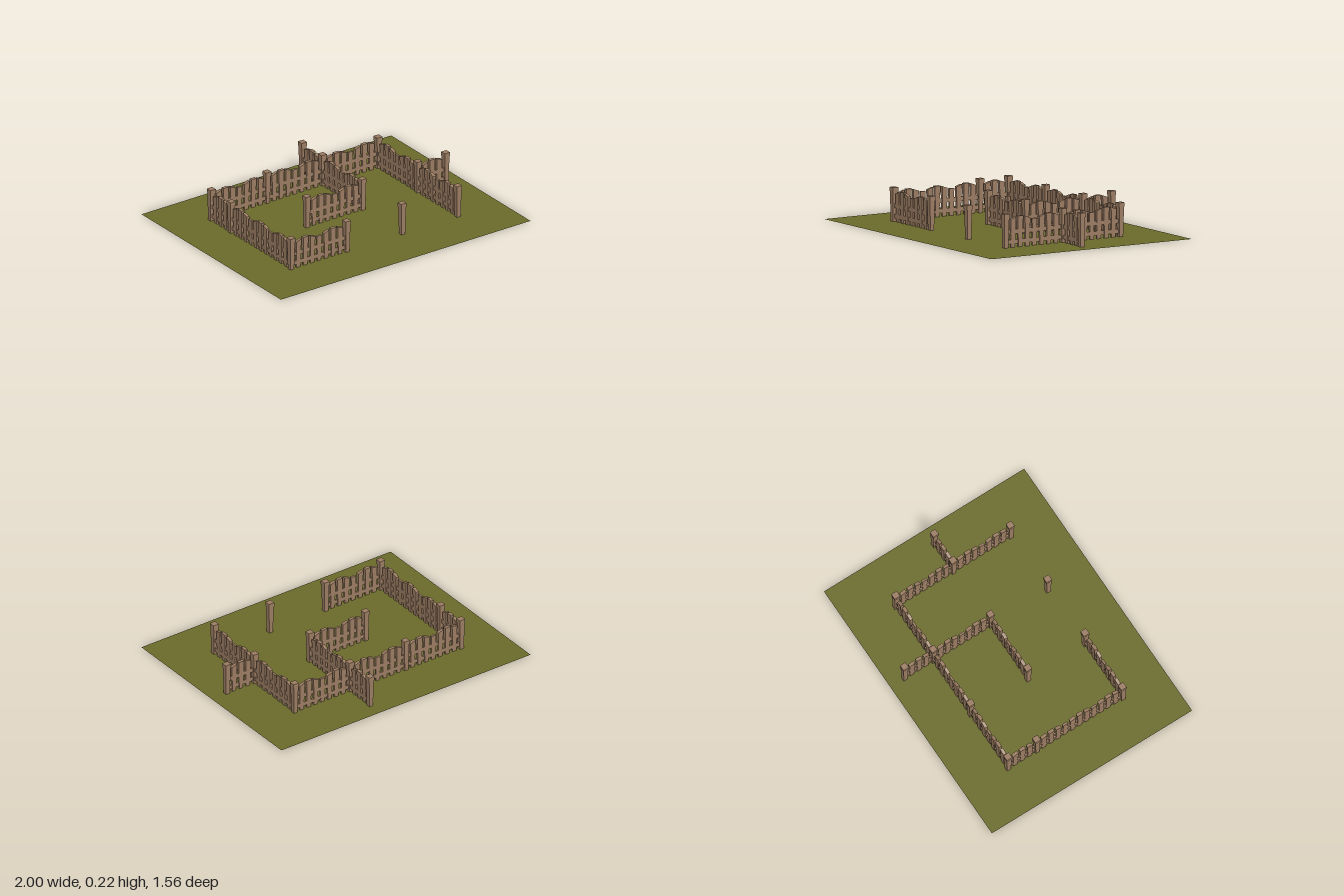
import * as THREE from 'three';

const wood = new THREE.MeshStandardMaterial({ color: 0x9b7c62 });
wood.name = 'weathered wood';
const grass = new THREE.MeshStandardMaterial({ color: 0x6a6a2b, side: THREE.DoubleSide });
grass.name = 'olive grass';

const HALF = 0.2225; // half a fence panel: three pickets between its ends
const STEP = HALF / 4;

function add(parent, geometry, material, name, x = 0, y = 0, z = 0) {
  const mesh = new THREE.Mesh(geometry, material);
  mesh.name = name;
  mesh.position.set(x, y, z);
  parent.add(mesh);
  return mesh;
}

// Board standing on y = 0, widening upward, with a top sloping from hL to hR
function board(wBottom, wTop, dBottom, dTop, hL, hR) {
  const g = new THREE.BoxGeometry(1, 1, 1);
  const p = g.attributes.position;
  for (let i = 0; i < p.count; i++) {
    const top = p.getY(i) > 0;
    const x = p.getX(i);
    p.setXYZ(i, x * (top ? wTop : wBottom), top ? (x < 0 ? hL : hR) : 0,
      p.getZ(i) * (top ? dTop : dBottom));
  }
  g.computeVertexNormals();
  return g;
}

const shaft = board(0.029, 0.037, 0.029, 0.037, 0.2, 0.2);
const cap = new THREE.BoxGeometry(0.042, 0.028, 0.042);
const rising = board(0.03, 0.041, 0.014, 0.022, 0.186, 0.2);
const falling = board(0.03, 0.041, 0.014, 0.022, 0.2, 0.186);
const tall = board(0.03, 0.042, 0.014, 0.023, 0.205, 0.205);
const low = board(0.03, 0.039, 0.012, 0.015, 0.179, 0.179);

function post(parent, x, z) {
  const g = new THREE.Group();
  g.name = 'post';
  g.position.set(x, 0, z);
  add(g, shaft, wood, 'postShaft');
  add(g, cap, wood, 'postCap', 0, 0.211, 0);
  parent.add(g);
}

// Run of fence along x or z; skip lists the half-panel joints that hold posts
function fence(parent, x, z, along, halves, postJoints = []) {
  const g = new THREE.Group();
  g.name = 'fenceRun';
  g.position.set(x, 0, z);
  if (along === 'z') g.rotation.y = -Math.PI / 2;
  const length = halves * HALF;
  for (const y of [0.037, 0.104]) {
    add(g, new THREE.BoxGeometry(length, 0.028, 0.012), wood, 'rail', length / 2, y, 0);
  }
  for (let h = 0; h < halves; h++) {
    [rising, tall, falling].forEach((geo, i) =>
      add(g, geo, wood, 'picket', h * HALF + (i + 1) * STEP));
    if (h > 0 && !postJoints.includes(h)) add(g, low, wood, 'lowPicket', h * HALF);
  }
  parent.add(g);
}

export function createModel() {
  const model = new THREE.Group();
  model.name = 'fencedYard';

  // Ground sheet
  const ground = add(model, new THREE.PlaneGeometry(2, 1.556), grass, 'ground');
  ground.rotation.x = -Math.PI / 2;

  // Fence runs
  const X = [-0.68, -0.235, 0.21, 0.655];
  const Z = 0.445;
  fence(model, X[0], -Z, 'x', 6, [2, 4]); // back
  fence(model, X[0], -Z, 'z', 4, [1]); // right side
  fence(model, X[3], -Z, 'z', 4, [2]); // left side
  fence(model, X[0], Z, 'x', 2); // front
  fence(model, X[1], 0, 'x', 2); // inner wall
  fence(model, X[2], -Z - HALF, 'z', 3, [1]); // inner divider
  fence(model, X[3], 0, 'x', 1); // outer spur

  // Posts
  for (const x of X) {
    post(model, x, -Z);
    post(model, x, Z);
  }
  for (const x of X.slice(1)) post(model, x, 0);
  post(model, X[0], -HALF);
  post(model, X[2], -Z - HALF);
  post(model, X[3] + HALF, 0);

  return model;
}
